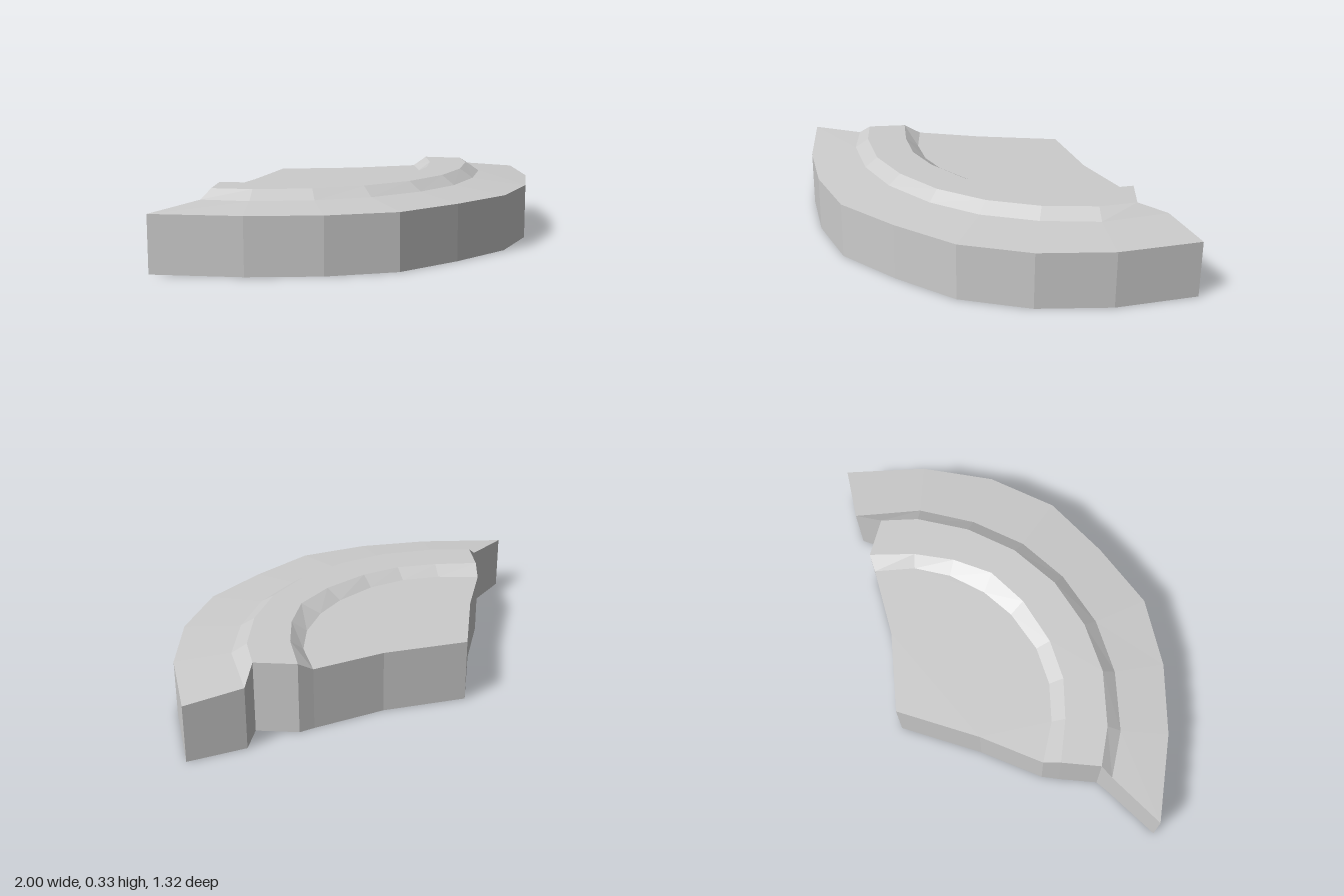
import * as THREE from 'three';

// Ground-plan arcs as x, z pairs, each running from the left end round the front to the right end
const pts = (flat, y) => {
  const out = [];
  for (let i = 0; i < flat.length; i += 2) out.push(new THREE.Vector3(flat[i], y, flat[i + 1]));
  return out;
};
const RIM_Y = 0.26, LEDGE_Y = 0.285, CREST_Y = 0.328;
const rim = pts([-1, 0.47, -0.61, 0.6, -0.28, 0.655, 0.05, 0.64, 0.35, 0.49,
  0.63, 0.31, 0.83, 0.04, 0.95, -0.28, 1, -0.66], RIM_Y);
const slopeFoot = pts([-0.765, 0.3, -0.56, 0.385, -0.28, 0.42, -0.02, 0.387, 0.235, 0.28,
  0.44, 0.125, 0.6, -0.09, 0.71, -0.335, 0.74, -0.65], LEDGE_Y);
const crestOuter = pts([-0.715, 0.26, -0.54, 0.325, -0.28, 0.36, -0.04, 0.325, 0.195, 0.23,
  0.395, 0.075, 0.545, -0.125, 0.645, -0.355, 0.67, -0.53], CREST_Y);
const crestInner = pts([-0.665, 0.085, -0.47, 0.145, -0.28, 0.175, -0.09, 0.15, 0.13, 0.065,
  0.3, -0.055, 0.4, -0.22, 0.465, -0.4, 0.5, -0.61], CREST_Y);
const basinEdge = pts([-0.64, 0.01, -0.46, 0.085, -0.28, 0.11, -0.1, 0.085, 0.09, 0,
  0.225, -0.105, 0.34, -0.25, 0.41, -0.41, 0.43, -0.6], LEDGE_Y);
const backEdge = pts([0.1, -0.57, -0.28, -0.605, -0.47, -0.25], LEDGE_Y);

// Unshared triangles give flat facets
function facets(corners) {
  const g = new THREE.BufferGeometry().setFromPoints(corners);
  g.computeVertexNormals();
  return g;
}

// Band of quads between two arcs, first arc on the outer or lower side
function band(a, b, closed = false) {
  const tris = [];
  const n = a.length;
  for (let i = 0; i < (closed ? n : n - 1); i++) {
    const j = (i + 1) % n;
    tris.push(a[i], a[j], b[j], a[i], b[j], b[i]);
  }
  return facets(tris);
}

// Flat polygon facing up or down
function lid(outline, up) {
  const flat = outline.map(p => new THREE.Vector2(p.x, -p.z));
  const tris = [];
  for (const [a, b, c] of THREE.ShapeUtils.triangulateShape(flat, [])) {
    tris.push(outline[a], outline[up ? b : c], outline[up ? c : b]);
  }
  return facets(tris);
}

export function createModel() {
  const model = new THREE.Group();
  model.name = 'curvedTile';
  const stone = new THREE.MeshStandardMaterial({ color: 0xcccccc, flatShading: true });
  stone.name = 'light grey stone';
  const add = (name, geometry) => {
    const mesh = new THREE.Mesh(geometry, stone);
    mesh.name = name;
    model.add(mesh);
  };

  // Stepped top surface
  add('outerLedge', band(rim, slopeFoot));
  add('outerSlope', band(slopeFoot, crestOuter));
  add('crest', band(crestOuter, crestInner));
  add('innerSlope', band(crestInner, basinEdge));
  add('innerFloor', lid([...basinEdge, ...backEdge], true));

  // Side walls follow the whole outline, end profiles included
  const arcs = [slopeFoot, crestOuter, crestInner, basinEdge];
  const outline = [
    ...rim,
    ...arcs.map(arc => arc[arc.length - 1]),
    ...backEdge,
    ...arcs.map(arc => arc[0]).reverse(),
  ];
  const footprint = outline.map(p => new THREE.Vector3(p.x, 0, p.z));
  add('sideWalls', band(footprint, outline, true));
  add('underside', lid(footprint, false));
  return model;
}
